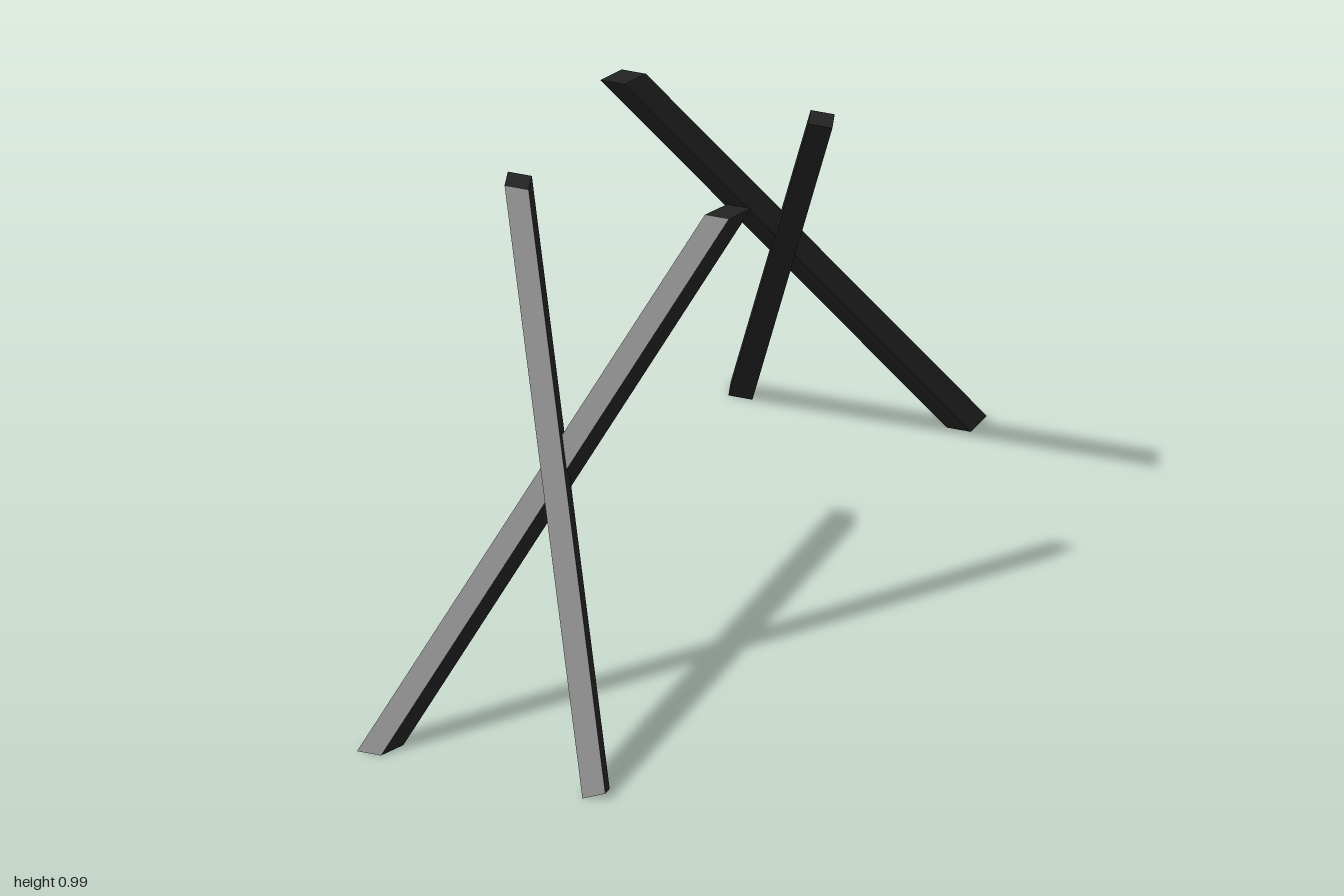
import * as THREE from 'three';

const HEIGHT = 0.99;
const material = new THREE.MeshStandardMaterial({ color: 0x222222, flatShading: true });

// Slanted bar with level ends. side: +1 front pair, -1 back pair.
// bottom / top are [x, distance from the middle]; lean shifts the outer face in x.
function makeBar(name, side, bottom, top, lean, chipped) {
  const geometry = new THREE.BoxGeometry(2, 2, 2).toNonIndexed();
  const p = geometry.attributes.position;
  for (let i = 0; i < p.count; i++) {
    const sx = p.getX(i), sy = p.getY(i), sz = p.getZ(i);
    const outer = sz * side;
    // the outer lower corner of the left-footed bar sits slightly off the floor
    const t = sy > 0 ? 1 : chipped && sx > 0 && outer > 0 ? 0.015 : 0;
    const x = THREE.MathUtils.lerp(bottom[0], top[0], t);
    const z = THREE.MathUtils.lerp(bottom[1], top[1], t);
    p.setXYZ(i, x + sx * 0.0265 + outer * lean, t * HEIGHT, side * (z + outer * 0.032));
  }
  geometry.computeVertexNormals();
  const mesh = new THREE.Mesh(geometry, material);
  mesh.name = name;
  return mesh;
}

export function createModel() {
  const model = new THREE.Group();
  model.name = 'crossedLegs';
  // Two crossed pairs, mirrored front to back and leaning towards each other
  for (const side of [1, -1]) {
    const pair = new THREE.Group();
    pair.name = side > 0 ? 'frontLegPair' : 'backLegPair';
    pair.add(
      makeBar('outerLeg', side, [0.245, 0.968], [-0.223, 0.272], 0.01, true),
      makeBar('innerLeg', side, [-0.2445, 0.937], [0.2275, 0.242], -0.011, false),
    );
    model.add(pair);
  }
  return model;
}
